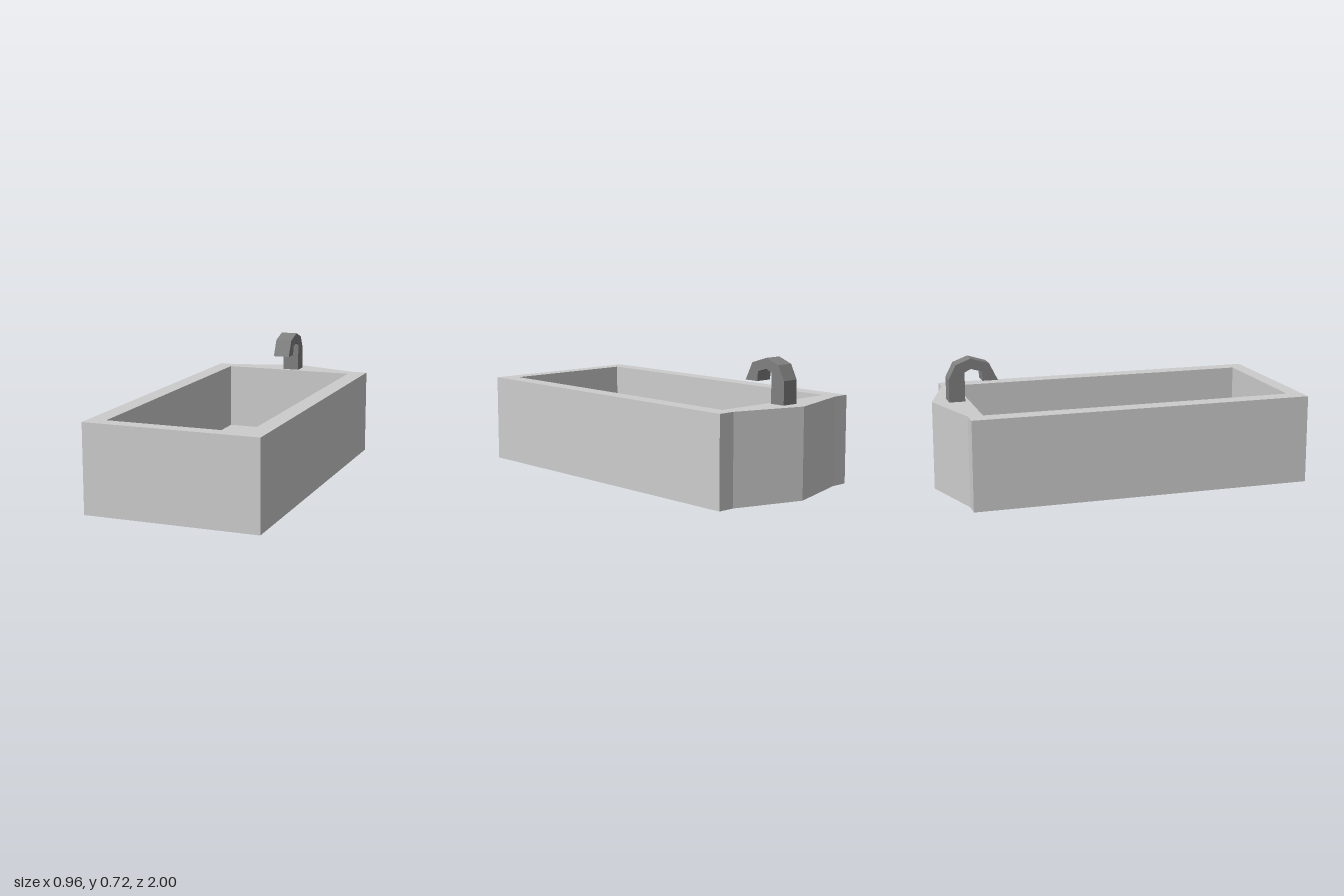
import * as THREE from 'three';

const HEIGHT = 0.487, FLOOR = 0.107;

const points = (list) => list.map(([a, b]) => new THREE.Vector2(a, b));
const extrude = (shape, depth) => new THREE.ExtrudeGeometry(shape, { depth, bevelEnabled: false });

export function createModel() {
  const group = new THREE.Group();
  const basinGrey = new THREE.MeshStandardMaterial({ name: 'light grey', color: 0xcccccc });
  const tapGrey = new THREE.MeshStandardMaterial({ name: 'dark grey', color: 0x808080 });

  const add = (name, geometry, material) => {
    const mesh = new THREE.Mesh(geometry, material);
    mesh.name = name;
    group.add(mesh);
  };

  // Walls: plan outline (x, -z) with a pointed back, and a rectangular opening
  const outline = new THREE.Shape(points([
    [-0.48, -1], [0.48, -1], [0.48, 0.88], [0.385, 0.88],
    [0, 1], [-0.385, 0.88], [-0.48, 0.88],
  ]));
  const [x, front, back] = [0.383, 0.917, -0.8];
  outline.holes.push(new THREE.Path(points([[-x, -front], [-x, -back], [x, -back], [x, -front]])));
  add('basinWalls', extrude(outline, HEIGHT).rotateX(-Math.PI / 2), basinGrey);

  // Floor closing the opening
  const floor = new THREE.BoxGeometry(2 * x, FLOOR, front - back);
  add('basinFloor', floor.translate(0, FLOOR / 2, (front + back) / 2), basinGrey);

  // Hooked tap: side profile (z, y), standing on the back rim
  const tap = new THREE.Shape(points([
    [-0.912, HEIGHT], [-0.825, HEIGHT], [-0.825, 0.647], [-0.79, 0.664], [-0.73, 0.647],
    [-0.727, 0.595], [-0.643, 0.595], [-0.69, 0.69], [-0.79, 0.721], [-0.872, 0.69], [-0.912, 0.612],
  ]));
  add('tap', extrude(tap, 0.096).rotateY(-Math.PI / 2).translate(0.056, 0, 0), tapGrey);

  return group;
}
